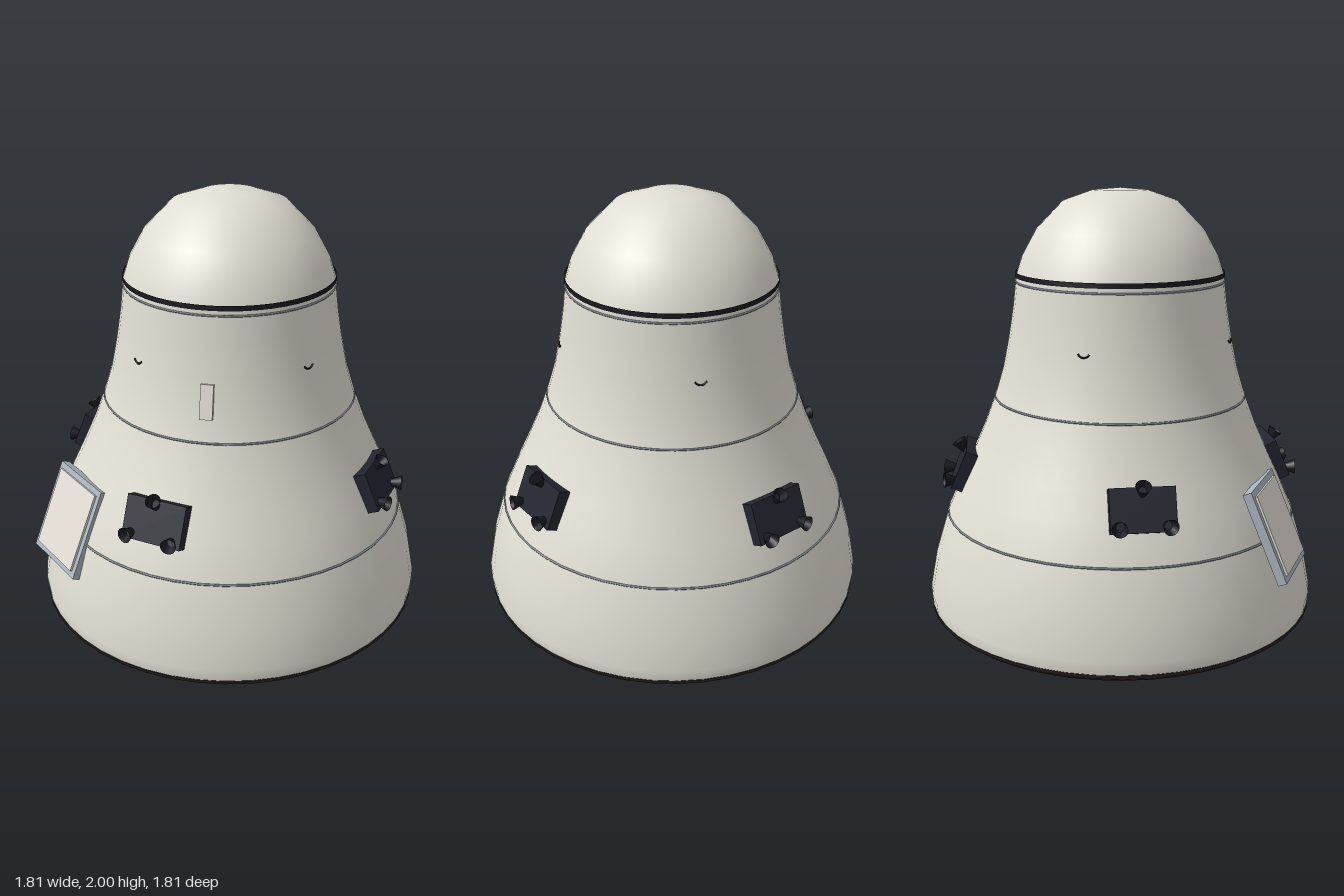
import * as THREE from 'three';

const mat = (name, color, side = THREE.FrontSide) => {
  const m = new THREE.MeshStandardMaterial({ color, side });
  m.name = name;
  return m;
};

export function createModel() {
  const root = new THREE.Group();
  root.name = 'spaceCapsule';

  const hullWhite = mat('hull white', 0xe0ded2);
  const panelWhite = mat('panel white', 0xe2ddd4);
  const seamGrey = mat('seam grey', 0x7d858c);
  const frameGrey = mat('frame blue grey', 0xaab5bf);
  const podNavy = mat('pod navy', 0x242430);
  const black = mat('black', 0x181820, THREE.DoubleSide);
  const shieldBrown = mat('shield brown', 0x2e2121);

  const add = (parent, name, geometry, material) => {
    const mesh = new THREE.Mesh(geometry, material);
    mesh.name = name;
    parent.add(mesh);
    return mesh;
  };
  const lathe = (pts) =>
    new THREE.LatheGeometry(pts.map(([r, y]) => new THREE.Vector2(r, y)), 48);

  // Group on the hull: azimuth from the front, radius, height, backward tilt
  const mount = (name, azimuth, radius, y, tilt) => {
    const g = new THREE.Group();
    g.name = name;
    g.rotation.order = 'YXZ';
    g.rotation.set(-tilt, azimuth, 0);
    g.position.set(radius * Math.sin(azimuth), y, radius * Math.cos(azimuth));
    root.add(g);
    return g;
  };

  // Hull shell, nose dome and heat shield
  add(root, 'hull', lathe([
    [0.9, 0.105], [0.905, 0.16], [0.872, 0.33], [0.81, 0.53], [0.745, 0.68],
    [0.688, 0.8], [0.63, 0.93], [0.577, 1.07], [0.537, 1.2], [0.508, 1.34],
    [0.485, 1.48], [0.468, 1.62],
  ]), hullWhite);
  add(root, 'noseDome', lathe([
    [0.468, 1.62], [0.44, 1.705], [0.376, 1.82], [0.254, 1.945], [0.122, 1.99], [0, 2],
  ]), hullWhite);
  add(root, 'heatShield', lathe([
    [0, 0], [0.3, 0.008], [0.6, 0.025], [0.78, 0.046], [0.88, 0.072], [0.902, 0.09], [0.902, 0.105],
  ]), shieldBrown);

  // Seams around the hull and the dark collar under the dome
  for (const [r, y] of [[0.81, 0.53], [0.577, 1.068], [0.471, 1.592]]) {
    const seam = add(root, 'hullSeam', new THREE.TorusGeometry(r, 0.005, 6, 48), seamGrey);
    seam.rotation.x = Math.PI / 2;
    seam.position.y = y;
  }
  const collar = add(root, 'noseCollar',
    new THREE.CylinderGeometry(0.471, 0.473, 0.022, 48, 1, true), black);
  collar.position.y = 1.624;

  // Four thruster pods, each with one upper and two lower nozzles
  const podBox = new THREE.BoxGeometry(0.275, 0.185, 0.07);
  const nozzleGeo = new THREE.CylinderGeometry(0.034, 0.012, 0.06, 16, 1, true);
  nozzleGeo.rotateX(Math.PI / 2);
  for (let i = 0; i < 4; i++) {
    const azimuth = THREE.MathUtils.degToRad(29 + 90 * i);
    const pod = mount('thrusterPod', azimuth, 0.72, 0.745, 0.41);
    add(pod, 'podBody', podBox, podNavy);
    for (const [x, y, pitch, yaw] of [[0, 0.075, -0.6, 0], [-0.098, -0.068, 0.35, -0.2], [0.098, -0.068, 0.35, 0.2]]) {
      const nozzle = add(pod, 'nozzle', nozzleGeo, black);
      nozzle.position.set(x, y, 0.048);
      nozzle.rotation.set(pitch, yaw, 0);
    }
  }

  // Hatch: tilted frame with a slightly raised panel
  const hatch = mount('hatch', 0, 0.787, 0.568, 0.41);
  hatch.position.x = -0.142;
  add(hatch, 'hatchFrame', new THREE.BoxGeometry(0.365, 0.42, 0.04), frameGrey);
  const panel = add(hatch, 'hatchPanel', new THREE.BoxGeometry(0.315, 0.365, 0.02), panelWhite);
  panel.position.z = 0.02;

  // Small raised plate on the upper hull
  const plate = mount('upperPlate', THREE.MathUtils.degToRad(44), 0.533, 1.238, 0.26);
  add(plate, 'plateBody', new THREE.BoxGeometry(0.055, 0.148, 0.03), panelWhite);

  // Four tiny curved fittings around the upper hull
  const arc = new THREE.TorusGeometry(0.028, 0.004, 5, 10, Math.PI * 0.7);
  arc.rotateZ(Math.PI * 1.15);
  for (let i = 0; i < 4; i++) {
    const fitting = mount('curvedFitting', THREE.MathUtils.degToRad(4.6 + 90 * i), 0.507, 1.357, 0.2);
    add(fitting, 'fittingArc', arc, black);
  }

  return root;
}
